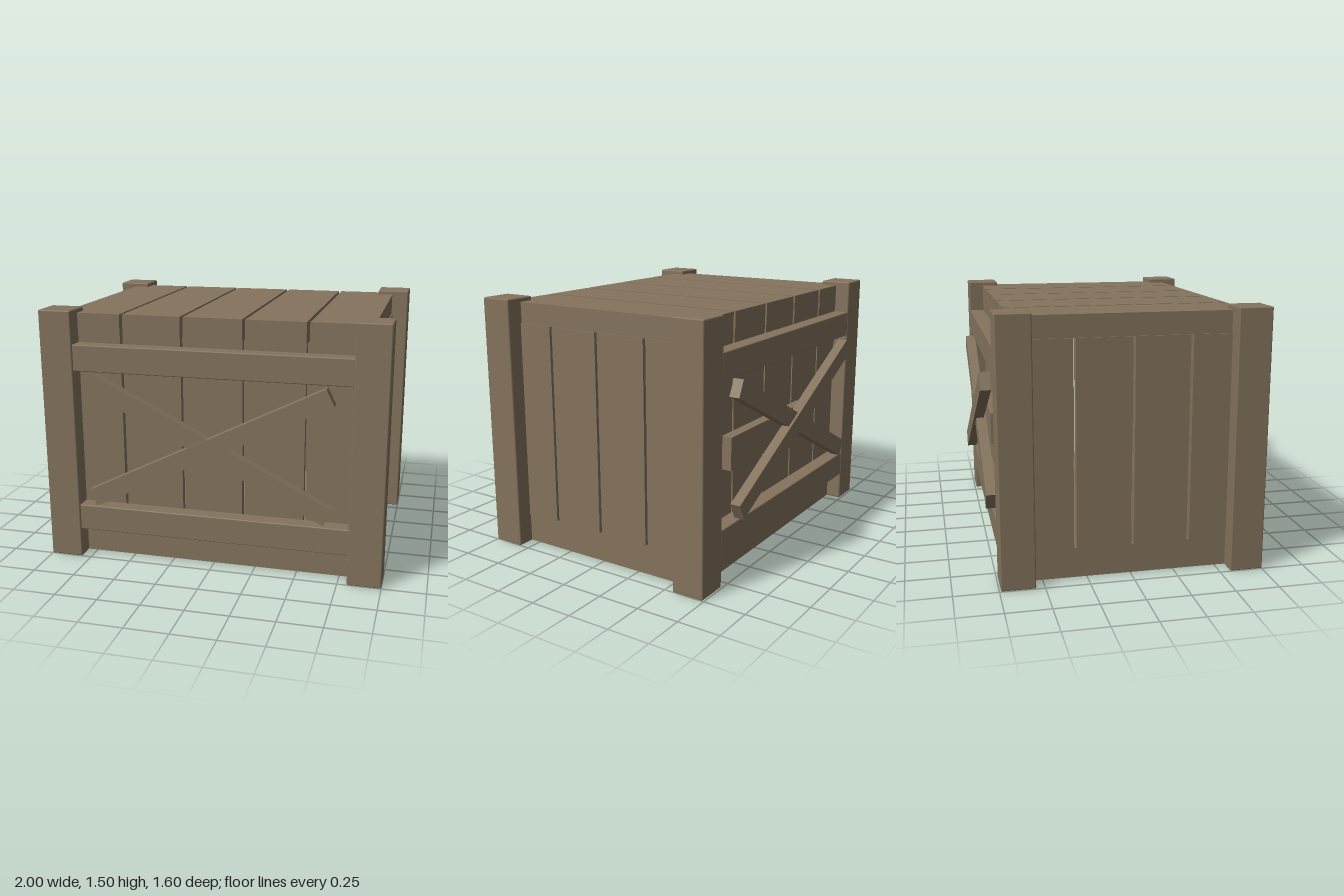
import * as THREE from 'three';
import { RoundedBoxGeometry } from 'three/addons/geometries/RoundedBoxGeometry.js';

const wood = new THREE.MeshStandardMaterial({ color: 0x84735d });
wood.name = 'brown wood';

// Box given by its lower and upper limits on each axis; bevel softens the edges.
function board(parent, name, [x0, x1], [y0, y1], [z0, z1], bevel = 0) {
  const size = [x1 - x0, y1 - y0, z1 - z0];
  const geometry = bevel
    ? new RoundedBoxGeometry(...size, 1, bevel)
    : new THREE.BoxGeometry(...size);
  const mesh = new THREE.Mesh(geometry, wood);
  mesh.name = name;
  mesh.position.set((x0 + x1) / 2, (y0 + y1) / 2, (z0 + z1) / 2);
  parent.add(mesh);
  return mesh;
}

// Ranges of the planks left between a list of gap centres.
function plankRanges(start, end, gaps, gapWidth) {
  const edges = [start, ...gaps.flatMap(g => [g - gapWidth / 2, g + gapWidth / 2]), end];
  return gaps.concat(0).map((_, i) => [edges[2 * i], edges[2 * i + 1]]);
}

export function createModel() {
  const crate = new THREE.Group();
  crate.name = 'crate';
  const lengthGaps = [-0.54, -0.18, 0.18, 0.54];
  const sideGaps = [-0.315, 0.01, 0.333];

  // Solid floor
  board(crate, 'floor', [-0.9, 0.9], [0.004, 0.175], [-0.65, 0.65]);

  // Lid planks running front to back
  for (const range of plankRanges(-0.897, 0.897, lengthGaps, 0.018))
    board(crate, 'lidPlank', range, [1.35, 1.475], [-0.65, 0.65]);

  // Side wall planks
  for (const side of [-1, 1])
    for (const range of plankRanges(-0.61, 0.61, sideGaps, 0.016)) {
      const plank = board(crate, 'sidePlank', [0.85, 0.905], [0.175, 1.35], range);
      plank.position.x *= side;
    }

  // Front and back share planks, rails and crossed braces
  for (const face of ['front', 'back']) {
    const wall = new THREE.Group();
    wall.name = face + 'Wall';
    if (face === 'back') wall.rotation.y = Math.PI;
    crate.add(wall);

    for (const range of plankRanges(-0.85, 0.85, lengthGaps, 0.015))
      board(wall, 'wallPlank', range, [0.175, 1.35], [0.61, 0.648]);

    for (const y of [0.175, 1.15])
      board(wall, 'rail', [-0.81, 0.81], [y, y + 0.155], [0.645, 0.74], 0.006);

    // The rising brace lies over the falling one
    for (const [slope, z] of [[1, 0.74], [-1, 0.725]]) {
      const brace = board(wall, 'brace', [-0.773, 0.773], [0.7, 0.805], [z, z + 0.06]);
      brace.rotation.z = slope * 0.4636;
    }
  }

  // Short board fixed to the back wall
  board(crate, 'backBoard', [-0.26, 0.66], [0.62, 0.81], [-0.71, -0.645]);

  // Corner posts
  for (const side of [-1, 1])
    for (const z of [[0.56, 0.752], [-0.742, -0.55]]) {
      const post = board(crate, 'cornerPost', [0.805, 1], [0, 1.5], z, 0.008);
      post.position.x *= side;
    }

  return crate;
}
